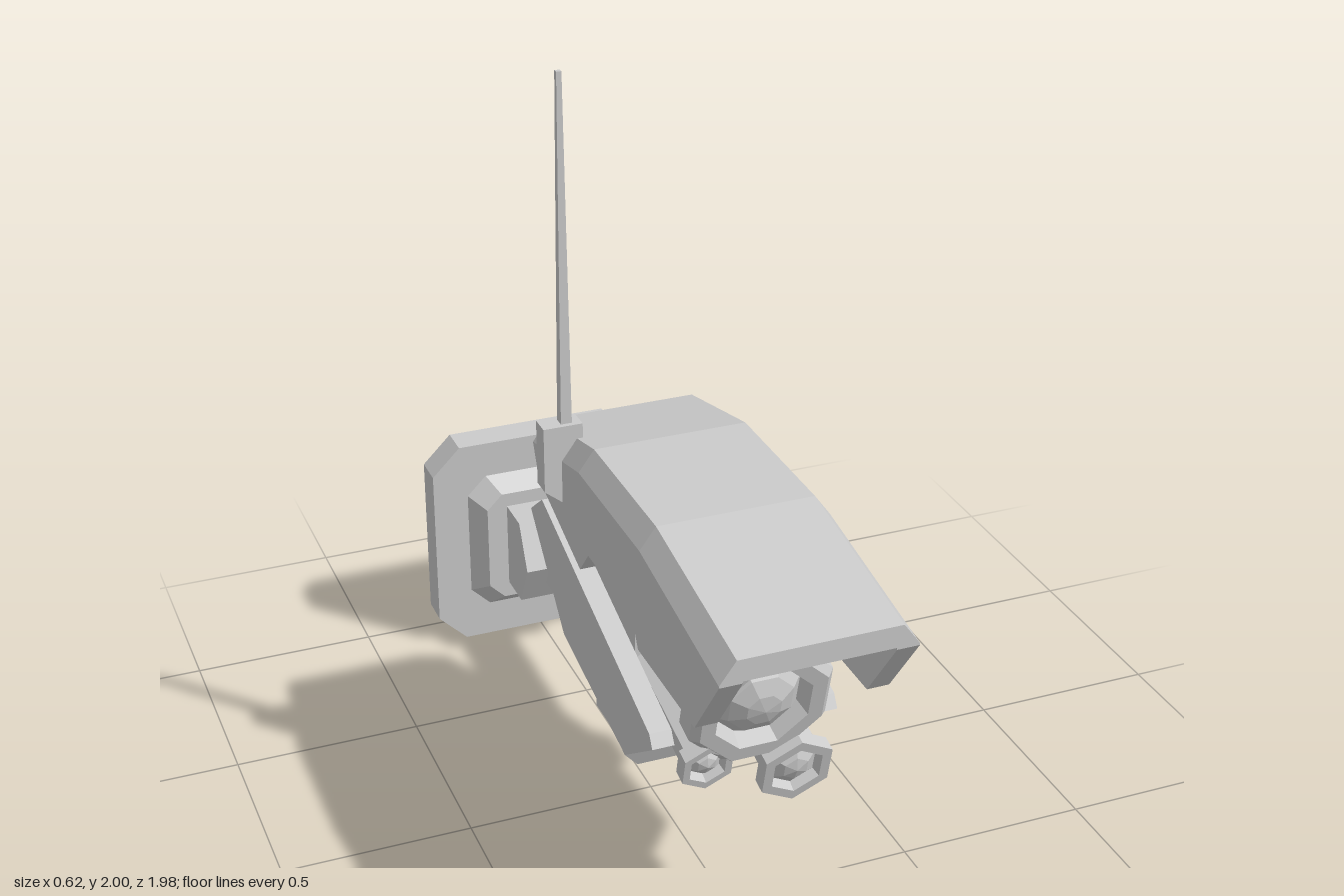
import * as THREE from 'three';

const material = new THREE.MeshStandardMaterial({ color: 0xcccccc, flatShading: true });
const TILT = 0.24; // downward pitch of the lens and lamps

function add(parent, name, geometry, x = 0, y = 0, z = 0) {
  const mesh = new THREE.Mesh(geometry, material);
  mesh.name = name;
  mesh.position.set(x, y, z);
  parent.add(mesh);
  return mesh;
}

// U-shaped shell from stations, front to back.
// Each station is [spine, shoulder, rim], given as [z, y] pairs.
function channel(stations, inverted) {
  const pos = [];
  const loops = stations.map(([t, c, r]) => [
    [0.235, r], [0.235, c], [0.195, t], [-0.195, t], [-0.235, c],
    [-0.235, r], [-0.18, r], [-0.18, c], [0.18, c], [0.18, r],
  ].map(([x, [z, y]]) => [x, y, z]));
  const tri = (a, b, c) => (inverted ? pos.push(...a, ...c, ...b) : pos.push(...a, ...b, ...c));
  const quad = (a, b, c, d) => { tri(a, b, c); tri(a, c, d); };
  for (let i = 0; i < loops.length - 1; i++) {
    const p = loops[i], q = loops[i + 1];
    for (let k = 0; k < 10; k++) {
      const n = (k + 1) % 10;
      quad(p[k], q[k], q[n], p[n]);
    }
  }
  const first = loops[0], last = loops[loops.length - 1];
  for (const [a, b, c, d] of [[0, 1, 8, 9], [1, 2, 3, 4], [4, 5, 6, 7]]) {
    quad(first[a], first[b], first[c], first[d]);
    quad(last[d], last[c], last[b], last[a]);
  }
  const geometry = new THREE.BufferGeometry();
  geometry.setAttribute('position', new THREE.Float32BufferAttribute(pos, 3));
  geometry.computeVertexNormals();
  return geometry;
}

// Faceted turned part facing forward and pitched down; profile is [radius, depth]
function turned(profile, sides, phase = 0) {
  const points = profile.map(([r, d]) => new THREE.Vector2(r, d));
  return new THREE.LatheGeometry(points, sides, phase).rotateX(Math.PI / 2 + TILT);
}

// Rectangle with cut corners
function cutRect(w, h, c) {
  return [[w - c, -h], [w, c - h], [w, h - c], [w - c, h],
    [c - w, h], [-w, h - c], [-w, c - h], [c - w, -h]];
}

function extrude(points, depth) {
  const shape = new THREE.Shape(points.map(([x, y]) => new THREE.Vector2(x, y)));
  return new THREE.ExtrudeGeometry(shape, { depth, bevelEnabled: false });
}

export function createModel() {
  const model = new THREE.Group();
  model.name = 'securityCamera';

  // Hood: roof height follows z, rim follows the notched lower edge
  const roof = (z) => (z > 0.53 ? 1.11 - (z - 0.53) * 0.174 : z > 0.13 ? 1.11 : 1.11 - (0.13 - z) * 0.235);
  const rim = [[0.99, 0.97], [0.86, 0.79], [0.53, 0.79], [0.52, 0.79], [0.48, 0.86],
    [0.19, 0.86], [0.13, 0.79], [-0.17, 0.89], [-0.21, 0.975]];
  add(model, 'hood', channel(rim.map(([z, y]) => [[z, roof(z)], [z, roof(z) - 0.055], [z, y]]), false));

  // Lower cradle
  add(model, 'cradle', channel([
    [[0.41, 0.39], [0.43, 0.44], [0.61, 0.57]],
    [[0.4, 0.393], [0.41, 0.445], [0.59, 0.602]],
    [[0.01, 0.48], [0, 0.53], [0.15, 0.742]],
    [[-0.26, 0.73], [-0.24, 0.77], [-0.15, 0.84]],
  ], true));

  // Core block joining hood and cradle
  add(model, 'core', new THREE.BoxGeometry(0.34, 0.53, 0.35), 0, 0.79, 0.155);

  // Main lens: octagonal barrel, raised ring and domed glass
  add(model, 'mainLens', turned([
    [0, -0.5], [0.165, -0.5], [0.165, -0.08], [0.185, -0.08], [0.185, -0.02], [0.165, 0],
    [0.125, 0], [0.115, -0.05], [0.085, -0.02], [0.045, 0], [0, 0.008],
  ], 8, Math.PI / 8), 0, 0.685, 0.71);

  // Hexagonal lamps
  for (const [name, x, y, z, r] of [
    ['lowerLeftLamp', 0.1, 0.475, 0.685, 0.097],
    ['lowerRightLamp', -0.12, 0.53, 0.67, 0.07],
    ['upperLeftLamp', 0.1, 0.88, 0.72, 0.075],
  ]) {
    add(model, name, turned([
      [0, -0.36], [r * 0.75, -0.36], [r * 0.75, -0.04], [r, -0.04], [r, 0],
      [r * 0.72, 0], [r * 0.64, -0.025], [r * 0.35, -0.008], [0, 0],
    ], 6), x, y, z);
  }

  // Octagonal sensor with two slots
  const sensor = new THREE.Group();
  sensor.name = 'sensor';
  sensor.position.set(-0.08, 0.9, 0.72);
  model.add(sensor);
  add(sensor, 'sensorBody', turned([[0, -0.38], [0.08, -0.38], [0.08, -0.04], [0.09, -0.04], [0.09, -0.01], [0.08, 0], [0, 0]], 8));
  for (const s of [-1, 1]) {
    const slot = add(sensor, 'sensorSlot', new THREE.BoxGeometry(0.04, 0.018, 0.012), s * 0.042, s * 0.014, -s * 0.003);
    slot.rotation.set(TILT, 0, 0.35);
  }

  // Post, socket and horizontal arm
  add(model, 'post', new THREE.CylinderGeometry(0.088, 0.088, 0.36, 6), 0, 0.49, -0.07);
  add(model, 'socket', new THREE.CylinderGeometry(0.12, 0.12, 0.175, 6), 0, 0.293, -0.07);
  add(model, 'arm', new THREE.BoxGeometry(0.09, 0.13, 0.62), 0, 0.315, -0.41);

  // Wall mount: plate, tapered step and pointed knuckle
  add(model, 'wallPlate', extrude(cutRect(0.31, 0.3125, 0.08), 0.09), 0, 0.3125, -0.985);
  const step = extrude(cutRect(0.21, 0.21, 0.055), 0.05);
  const p = step.attributes.position;
  for (let i = 0; i < p.count; i++) {
    if (p.getZ(i) > 0.02) p.setXY(i, p.getX(i) * 0.8, p.getY(i) * 0.8);
  }
  add(model, 'mountStep', step, 0, 0.312, -0.895);
  const knuckle = extrude([[0.85, 0.19], [0.85, 0.44], [0.735, 0.44], [0.672, 0.315], [0.735, 0.19]].reverse(), 0.22);
  add(model, 'mountKnuckle', knuckle.rotateY(Math.PI / 2), -0.11);

  // Antenna: base clipped to the hood and a tapered whip
  const base = extrude([[-0.28, 0.95], [-0.23, 0.91], [-0.18, 0.91], [-0.18, 1.12], [-0.28, 1.12]], 0.055);
  add(model, 'antennaBase', base, 0, 0, -0.045);
  const whip = new THREE.CylinderGeometry(0.009, 0.02, 0.89, 4).rotateY(Math.PI / 4);
  add(model, 'antenna', whip, -0.217, 1.555, -0.017);

  return model;
}
